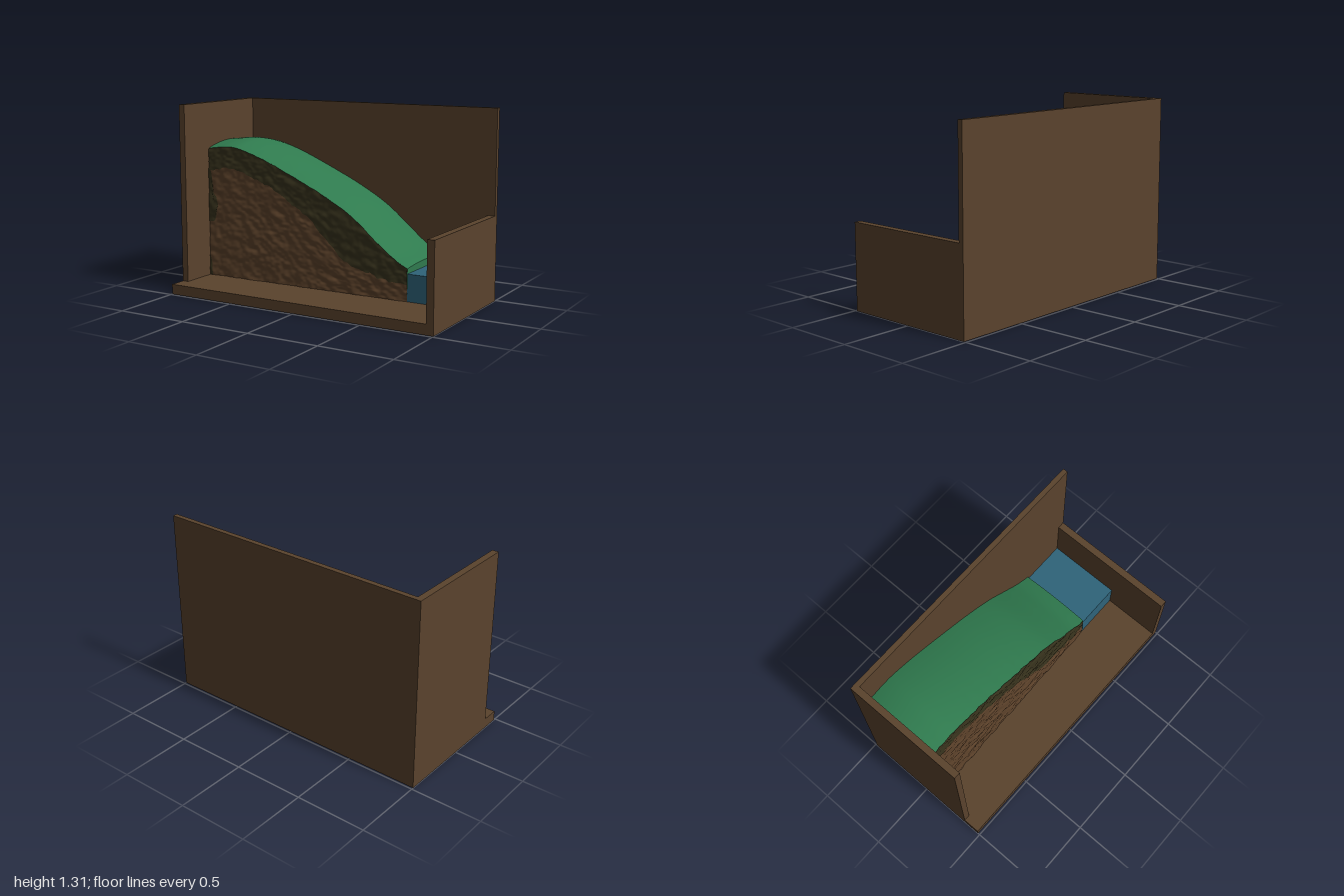
import * as THREE from 'three';

const mat = (name, color, side = THREE.FrontSide) => {
  const m = new THREE.MeshStandardMaterial({ color, side });
  m.name = name;
  return m;
};

// Smooth curve through a few [x, y] points, evaluated at x
function curve(points) {
  return (x) => {
    let i = 0;
    while (i < points.length - 2 && x > points[i + 1][0]) i++;
    const at = (k) => points[Math.min(Math.max(k, 0), points.length - 1)];
    const [p, a, b, n] = [at(i - 1), at(i), at(i + 1), at(i + 2)];
    const w = b[0] - a[0];
    const t = Math.min(Math.max((x - a[0]) / w, 0), 1);
    const m0 = ((b[1] - p[1]) / (b[0] - p[0])) * w;
    const m1 = ((n[1] - a[1]) / (n[0] - a[0])) * w;
    const t2 = t * t, t3 = t2 * t;
    return (2 * t3 - 3 * t2 + 1) * a[1] + (t3 - 2 * t2 + t) * m0
      + (3 * t2 - 2 * t3) * b[1] + (t3 - t2) * m1;
  };
}

// Smooth value noise in the range -1..1
function noise(x, y) {
  const hash = (i, j) => {
    const s = Math.sin(i * 127.1 + j * 311.7) * 43758.5453;
    return (s - Math.floor(s)) * 2 - 1;
  };
  const i = Math.floor(x), j = Math.floor(y);
  const ease = (t) => t * t * (3 - 2 * t);
  const u = ease(x - i), v = ease(y - j);
  const mix = THREE.MathUtils.lerp;
  return mix(mix(hash(i, j), hash(i + 1, j), u), mix(hash(i, j + 1), hash(i + 1, j + 1), u), v);
}

// Grid surface: s runs right and t runs up as seen from its front
function surface(name, material, ns, nt, point) {
  const pos = [], index = [];
  for (let j = 0; j <= nt; j++) {
    for (let i = 0; i <= ns; i++) pos.push(...point(i / ns, j / nt));
  }
  for (let j = 0; j < nt; j++) {
    for (let i = 0; i < ns; i++) {
      const a = j * (ns + 1) + i, c = a + ns + 1;
      index.push(a, a + 1, c + 1, a, c + 1, c);
    }
  }
  const g = new THREE.BufferGeometry();
  g.setAttribute('position', new THREE.Float32BufferAttribute(pos, 3));
  g.setIndex(index);
  g.computeVertexNormals();
  const mesh = new THREE.Mesh(g, material);
  mesh.name = name;
  return mesh;
}

// Box given by its limits
function box(name, material, x0, x1, y0, y1, z0, z1) {
  const mesh = new THREE.Mesh(new THREE.BoxGeometry(x1 - x0, y1 - y0, z1 - z0), material);
  mesh.position.set((x0 + x1) / 2, (y0 + y1) / 2, (z0 + z1) / 2);
  mesh.name = name;
  return mesh;
}

export function createModel() {
  const group = new THREE.Group();
  group.name = 'hillsideDiorama';
  const wood = mat('brown wood', 0x5a432d);
  const soil = mat('brown soil', 0x5e432b, THREE.DoubleSide);
  const topsoil = mat('dark topsoil', 0x38331d, THREE.DoubleSide);
  const grass = mat('green grass', 0x2f7a4e, THREE.DoubleSide);
  const water = mat('blue water', 0x2f647a);

  const L = -0.955, R = 0.617, floor = 0.07, back = -0.45;

  // Open display case
  group.add(
    box('base', wood, -1, 1, 0, floor, -0.485, 0.485),
    box('backWall', wood, -1, 1, floor, 1.31, -0.485, back),
    box('tallSideWall', wood, -1, L, floor, 1.31, back, 0.365),
    box('lowSideWall', wood, 0.95, 1, floor, 0.59, back, 0.485),
    box('water', water, R, 0.95, floor, 0.255, back, 0.075),
  );

  // Hill profile along its crest and along the cut face
  const crest = curve([[L, 1.03], [-0.8, 1.045], [-0.7, 1.036], [-0.5, 0.97], [-0.2, 0.838],
    [0, 0.74], [0.2, 0.62], [0.4, 0.455], [0.5, 0.375], [R, 0.305]]);
  const dip = (x) => THREE.MathUtils.mapLinear(x, L, R, 0.044, 0.016);
  const edge = (x) => crest(x) - dip(x);
  const cutZ = (x, y) => THREE.MathUtils.mapLinear(x, L, R, 0.102, 0.078)
    + 0.005 * noise(x * 16 + 5, y * 26 + x * 8) + 0.003 * noise(x * 38, y * 55);

  // Grass blanket, arched from front to back
  group.add(surface('grass', grass, 110, 24, (s, t) => {
    const x = L + (R - L) * s;
    const u = 2 * t - 1;
    const z = THREE.MathUtils.lerp(cutZ(x, edge(x)), back, t);
    return [x, crest(x) - dip(x) * u * u, z];
  }));

  // End of the hill at the water
  group.add(surface('hillEnd', grass, 24, 4, (s, t) => {
    const u = 2 * s - 1;
    const y = THREE.MathUtils.lerp(floor, crest(R) - dip(R) * u * u, t);
    return [R, y, THREE.MathUtils.lerp(cutZ(R, y), back, s)];
  }));

  // Rough cut face, in layers bounded by curves
  const layer = (name, material, x0, x1, low, high, ns, nt, lift = 0) =>
    group.add(surface(name, material, ns, nt, (s, t) => {
      const x = x0 + (x1 - x0) * s;
      const y = THREE.MathUtils.lerp(low(x), high(x), t);
      return [x, y, cutZ(x, y) + lift];
    }));
  const seam = curve([[L, 0.83], [-0.8, 0.85], [-0.65, 0.82], [-0.5, 0.77], [-0.36, 0.7],
    [-0.2, 0.605], [-0.13, 0.57], [-0.07, 0.49], [0, 0.43], [0.1, 0.33], [0.2, 0.265],
    [0.35, 0.22], [0.5, 0.19], [R, 0.175]]);
  const roughSeam = (x) => seam(x) + 0.01 * noise(x * 35, 3);
  layer('soilFace', soil, L, R, () => floor, roughSeam, 170, 80);
  layer('topsoilBand', topsoil, L, R, roughSeam, edge, 170, 24);

  // Dark patches beside the tall wall
  layer('darkPatch', topsoil, L, -0.88,
    curve([[L, 0.46], [-0.91, 0.47], [-0.895, 0.51], [-0.88, 0.58]]),
    curve([[L, 0.84], [-0.93, 0.81], [-0.92, 0.68], [-0.895, 0.64], [-0.88, 0.59]]), 12, 24, 0.003);
  layer('lowDarkPatch', topsoil, L, -0.932, () => floor,
    curve([[L, 0.22], [-0.942, 0.18], [-0.932, 0.08]]), 6, 12, 0.003);

  return group;
}
